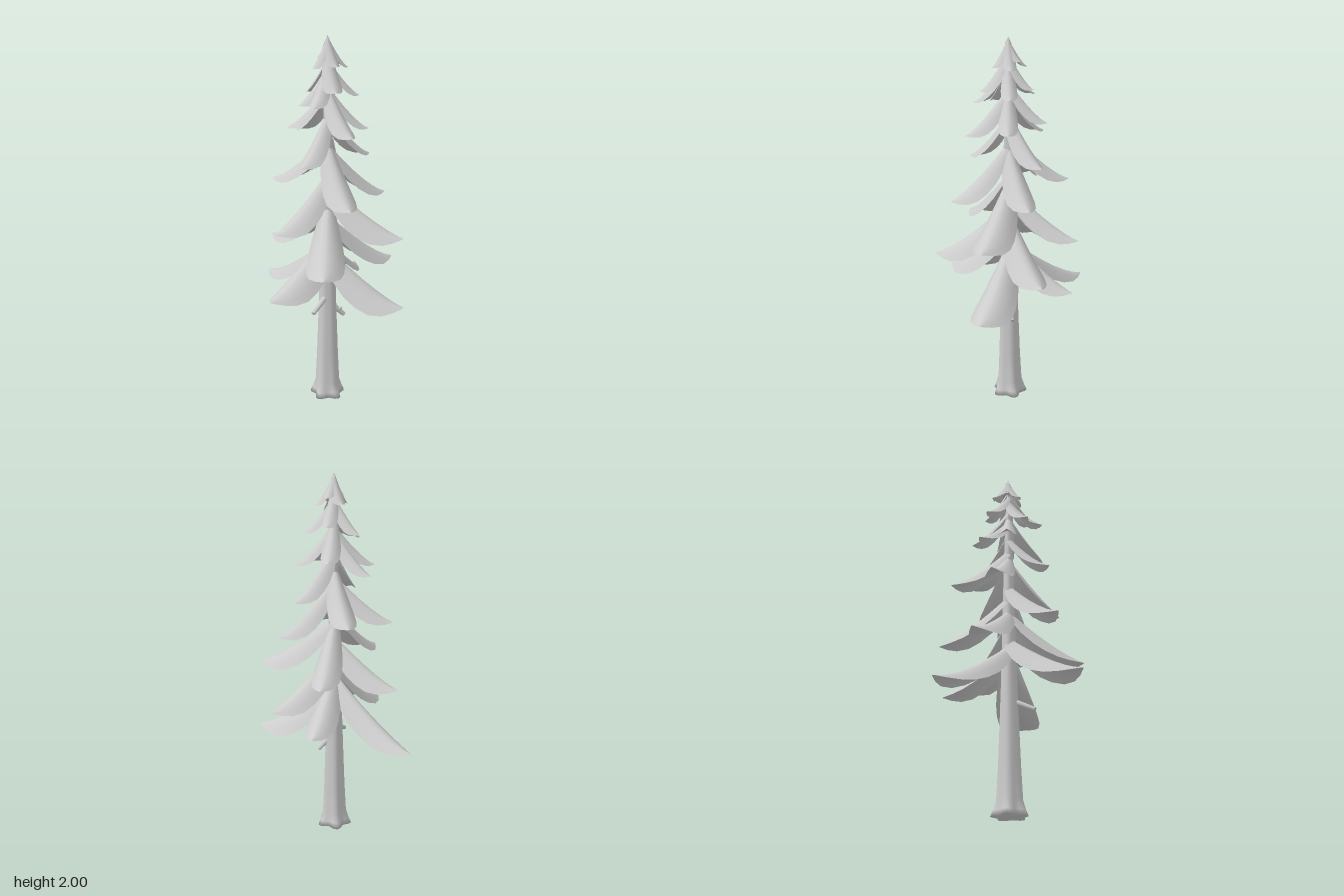
import * as THREE from 'three';

const CX = -0.015, CZ = 0.05; // trunk axis

// Width of a bough along its length: [position, share of half width]
const OUTLINE = [[0, 0.45], [0.15, 0.72], [0.3, 0.9], [0.45, 0.99], [0.62, 1], [0.78, 0.82], [0.9, 0.48], [1, 0.06]];
const COLS = 8;

// Drooping arched bough from the trunk axis to a tip, with a hollow underside
function boughGeometry([tx, ty, tz, drop, half]) {
  const dir = new THREE.Vector3(tx - CX, 0, tz - CZ);
  const length = dir.length();
  dir.normalize();
  const side = new THREE.Vector3(0, 1, 0).cross(dir);
  const pos = [], index = [];
  for (const hollow of [0, 0.45]) {
    const start = pos.length / 3;
    OUTLINE.forEach(([t, w], i) => {
      const spine = ty + drop * 1.1 * Math.pow(1 - t, 1.35);
      const sag = half * w * 1.65 * (1 - 0.72 * t); // sides hang deepest near the trunk
      for (let j = 0; j <= COLS; j++) {
        const s = (j / COLS) * 2 - 1;
        const arch = sag * (hollow + (1 - hollow) * Math.pow(Math.abs(s), 1.7));
        const along = length * t, across = half * w * s;
        pos.push(CX + dir.x * along + side.x * across, spine - arch, CZ + dir.z * along + side.z * across);
        if (i < OUTLINE.length - 1 && j < COLS) {
          const a = start + i * (COLS + 1) + j, b = a + COLS + 1;
          if (hollow) index.push(a, a + 1, b, b, a + 1, b + 1);
          else index.push(a, b, a + 1, b, b + 1, a + 1);
        }
      }
    });
  }
  const g = new THREE.BufferGeometry();
  g.setAttribute('position', new THREE.Float32BufferAttribute(pos, 3));
  g.setIndex(index);
  g.computeVertexNormals();
  return g;
}

// Boughs by tier: tip x, tip y, tip z, drop from the trunk, half width
const TIERS = {
  lowBoughs: [
    [0.34, 0.585, 0.29, 0.27, 0.112], [-0.25, 0.595, -0.44, 0.3, 0.085],
    [-0.38, 0.695, 0.3, 0.25, 0.105], [0.375, 0.77, -0.03, 0.27, 0.09],
    [0.225, 0.67, -0.24, 0.25, 0.08],
  ],
  broadBoughs: [
    [-0.135, 0.835, 0.435, 0.27, 0.1], [-0.26, 0.885, -0.25, 0.23, 0.085],
    [0.335, 0.97, 0.275, 0.25, 0.1],
    [0.19, 0.95, -0.28, 0.25, 0.075], [-0.325, 1.02, 0.2, 0.25, 0.085],
  ],
  middleBoughs: [
    [0.02, 1.165, 0.37, 0.27, 0.08], [0.31, 1.165, 0.02, 0.26, 0.075],
    [-0.27, 1.235, -0.15, 0.22, 0.07], [0.03, 1.255, -0.27, 0.24, 0.07],
    [-0.19, 1.365, 0.22, 0.22, 0.06], [0.245, 1.365, -0.06, 0.23, 0.06],
  ],
  upperBoughs: [
    [0.05, 1.515, 0.29, 0.21, 0.06], [-0.13, 1.495, -0.17, 0.2, 0.05],
    [0.19, 1.53, 0.1, 0.2, 0.05], [-0.21, 1.53, -0.04, 0.19, 0.05],
    [0.09, 1.57, -0.13, 0.19, 0.05], [-0.13, 1.66, 0.21, 0.18, 0.045],
    [-0.18, 1.66, 0.1, 0.17, 0.045], [0.145, 1.7, 0.08, 0.17, 0.042],
    [-0.09, 1.7, -0.11, 0.17, 0.042], [-0.01, 1.73, 0.2, 0.18, 0.05],
    [0.07, 1.74, -0.06, 0.16, 0.04],
  ],
  crownBoughs: [
    [0.09, 1.84, 0.06, 0.14, 0.033], [-0.1, 1.84, 0.09, 0.14, 0.033],
    [-0.02, 1.85, -0.05, 0.13, 0.033], [0.01, 1.85, 0.14, 0.13, 0.033],
    [0.05, 1.88, 0.0, 0.1, 0.028], [-0.06, 1.89, 0.02, 0.09, 0.028],
  ],
};

// Tapered trunk with root lobes at the foot
function trunkGeometry() {
  const profile = [[0.085, 0], [0.077, 0.03], [0.065, 0.08], [0.058, 0.25], [0.051, 0.45], [0.043, 0.7],
    [0.036, 1.0], [0.027, 1.4], [0.016, 1.75], [0.004, 1.95]].map(([r, y]) => new THREE.Vector2(r, y));
  profile.unshift(new THREE.Vector2(0, 0));
  const g = new THREE.LatheGeometry(profile, 30);
  const p = g.attributes.position;
  for (let i = 0; i < p.count; i++) {
    const x = p.getX(i), y = p.getY(i), z = p.getZ(i);
    const k = 1 + (0.04 + 0.14 * Math.exp(-y * 18)) * Math.cos(5 * Math.atan2(z, x) + 0.6);
    p.setXYZ(i, x * k, y, z * k);
  }
  g.computeVertexNormals();
  return g.translate(CX, 0, CZ);
}

// Short broken twig between two points
function twigGeometry(from, to, r0, r1) {
  const a = new THREE.Vector3(...from), d = new THREE.Vector3(...to).sub(a);
  const g = new THREE.CylinderGeometry(r1, r0, d.length(), 8);
  g.translate(0, d.length() / 2, 0);
  g.applyQuaternion(new THREE.Quaternion().setFromUnitVectors(new THREE.Vector3(0, 1, 0), d.normalize()));
  return g.translate(a.x, a.y, a.z);
}

export function createModel() {
  const grey = new THREE.MeshStandardMaterial({ color: 0xcccccc });
  grey.name = 'plain grey';
  const tree = new THREE.Group();
  tree.name = 'coniferTree';
  const add = (name, geometry, parent = tree) => {
    const mesh = new THREE.Mesh(geometry, grey);
    mesh.name = name;
    parent.add(mesh);
  };

  add('trunk', trunkGeometry());
  add('frontTwig', twigGeometry([-0.03, 0.6, 0.07], [-0.12, 0.54, 0.15], 0.016, 0.011));
  add('sideTwig', twigGeometry([0.01, 0.54, 0.05], [0.078, 0.475, 0.055], 0.018, 0.012));
  add('twigFork', twigGeometry([0.045, 0.505, 0.053], [0.058, 0.525, 0.075], 0.01, 0.006));

  for (const [name, boughs] of Object.entries(TIERS)) {
    const tier = new THREE.Group();
    tier.name = name;
    boughs.forEach((b, i) => add(`bough${i + 1}`, boughGeometry(b), tier));
    tree.add(tier);
  }

  // Pointed leader at the top
  add('topPoint', new THREE.ConeGeometry(0.036, 0.11, 10).translate(CX, 1.945, CZ));
  return tree;
}
